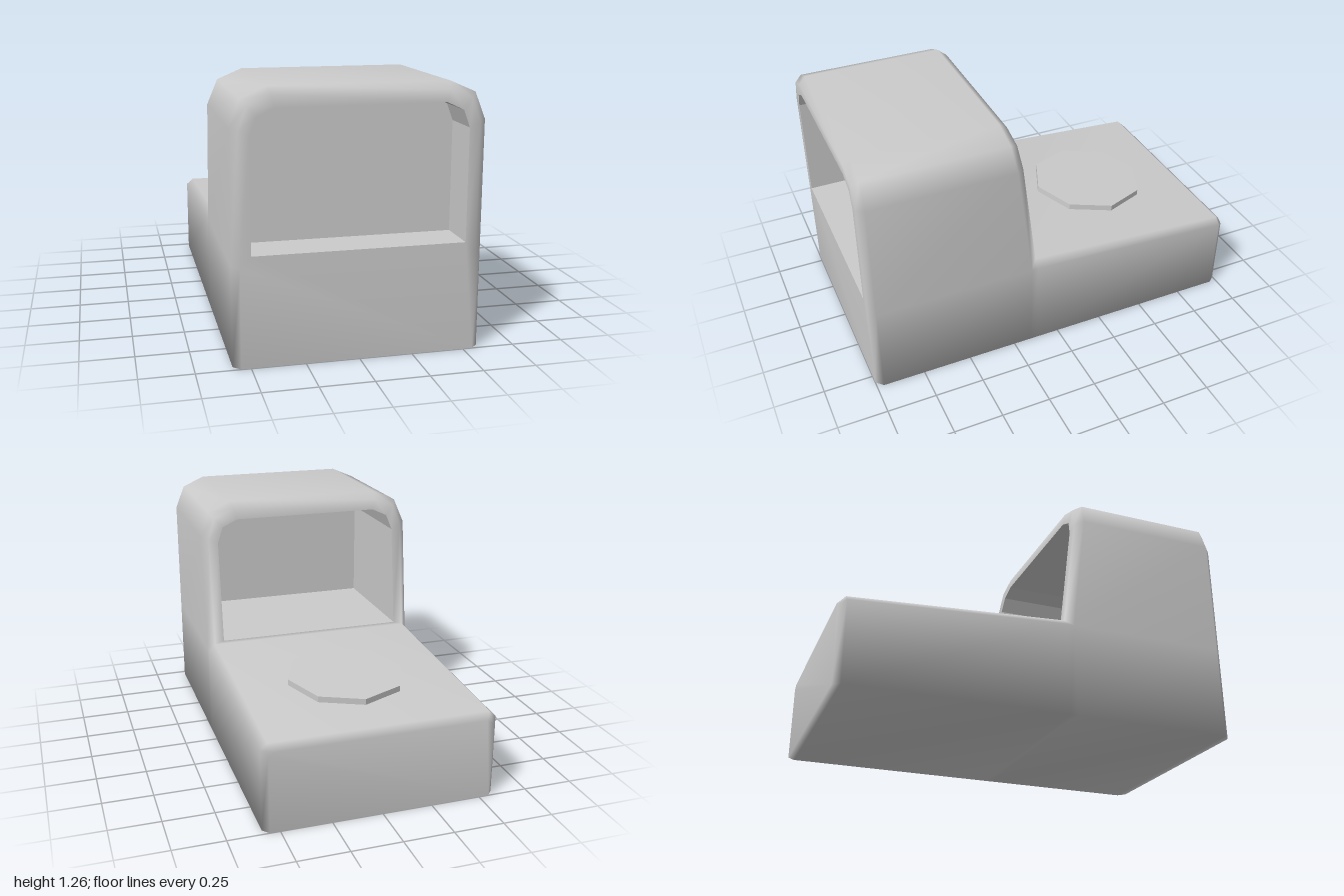
import * as THREE from 'three';
import { mergeVertices } from 'three/addons/utils/BufferGeometryUtils.js';

// z of the slanted rear face of the hood at height y
const rearZ = (y) => 0.12 + 0.126 * (y - 0.505);

// mirror a +x half profile (bottom to top) into a full arch
const mirror = (half) => [...half, ...half.map(([x, y]) => [-x, y]).reverse()];

const archOuter = (d) => mirror([[0.58 - d, 0.47], [0.58 - d, 1.08 - d / 4],
  [0.53 - d * 0.7, 1.205 - d * 0.7], [0.41 - d / 4, 1.257 - d]]);
const opening = mirror([[0.495, 0.52], [0.495, 1.05], [0.465, 1.13], [0.385, 1.167]]);
const place = (profile, zAt) => profile.map(([x, y]) => [x, y, zAt(y)]);

// two triangles between points i and i+1 of neighbouring rows
function strip(out, r0, r1, i) {
  const j = (i + 1) % r0.length;
  out.push(r0[i], r1[i], r1[j], r0[i], r1[j], r0[j]);
}

function fan(out, ring) {
  for (let i = 1; i < ring.length - 1; i++) out.push(ring[0], ring[i], ring[i + 1]);
}

function toGeometry(points, smooth) {
  let g = new THREE.BufferGeometry();
  g.setAttribute('position', new THREE.Float32BufferAttribute(points.flat(), 3));
  if (smooth) g = mergeVertices(g, 1e-4);
  g.computeVertexNormals();
  return g;
}

function housingGeometry() {
  const out = [];
  const zSeam = rearZ(0.47) + 0.04;

  // base: z, half width, side height, top half width, top height
  const base = [
    [1, 0.545, 0.47, 0.495, 0.52],
    [0.965, 0.58, 0.47, 0.495, 0.52],
    [zSeam, 0.58, 0.47, 0.58, 0.47],
    [0.12, 0.58, 0.47, 0.545, 0.505],
    [-0.965, 0.58, 0.405, 0.545, 0.437],
    [-1, 0.55, 0.385, 0.52, 0.405],
  ].map(([z, w, ys, xt, yt]) => place(mirror([[w, 0], [w, ys], [xt, yt]]), () => z));
  for (let r = 0; r < base.length - 1; r++) {
    for (let i = 0; i < 6; i++) {
      const underHood = (r < 2 && i >= 1 && i <= 3) || (r === 2 && i === 2);
      if (!underHood) strip(out, base[r], base[r + 1], i);
    }
  }
  fan(out, base[0]);
  fan(out, [...base[base.length - 1]].reverse());

  // hood: front frame, bevel, shell, rear bevel, rear frame
  const rim = place(archOuter(0.035), rearZ);
  rim[0] = [0.545, 0.505, 0.12];
  rim[7] = [-0.545, 0.505, 0.12];
  const hood = [
    place(opening, () => 1),
    place(archOuter(0.035), () => 1),
    place(archOuter(0), () => 0.965),
    place(archOuter(0), (y) => rearZ(y) + 0.04),
    rim,
    place(opening, rearZ),
  ];
  for (let r = 0; r < hood.length - 1; r++) {
    const n = r === hood.length - 2 ? 8 : 7; // rear frame also closes its sill
    for (let i = 0; i < n; i++) strip(out, hood[r], hood[r + 1], i);
  }
  return toGeometry(out, true);
}

// inner walls and floor of the hood
function tunnelGeometry() {
  const out = [];
  const back = place(opening, rearZ);
  const front = place(opening, () => 1);
  for (let i = 0; i < 8; i++) strip(out, back, front, i);
  return toGeometry(out, false);
}

export function createModel() {
  const group = new THREE.Group();
  const grey = new THREE.MeshStandardMaterial({ color: 0xcccccc });
  const greyFlat = new THREE.MeshStandardMaterial({ color: 0xcccccc, flatShading: true });
  const greyThin = new THREE.MeshStandardMaterial({ color: 0xcccccc, side: THREE.DoubleSide });
  const add = (name, geometry, material) => {
    const mesh = new THREE.Mesh(geometry, material);
    mesh.name = name;
    group.add(mesh);
    return mesh;
  };

  add('housing', housingGeometry(), grey);
  add('windowTunnel', tunnelGeometry(), greyFlat);

  // lens pane filling the tunnel
  const pane = new THREE.Shape(opening.map(([x, y]) => new THREE.Vector2(x, y)));
  add('lens', new THREE.ShapeGeometry(pane), greyThin).position.z = 0.79;

  // eight-sided cap lying on the sloping deck
  const cap = add('batteryCap', new THREE.CylinderGeometry(0.3, 0.3, 0.05, 8), greyFlat);
  cap.position.set(0, 0.475, -0.45);
  cap.rotation.x = -0.063;

  return group;
}
